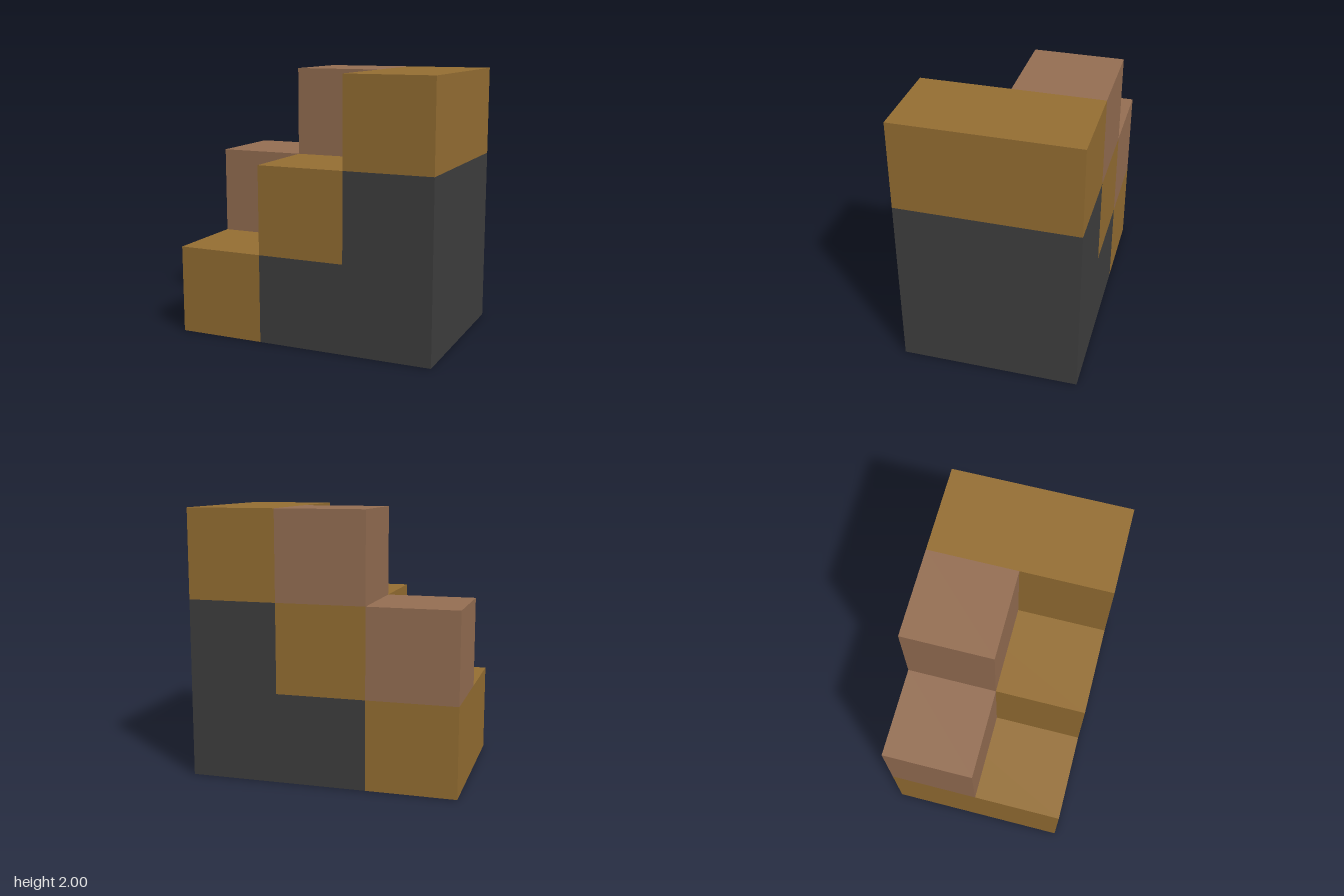
import * as THREE from 'three';

const U = 2 / 3; // edge of one block

export function createModel() {
  const model = new THREE.Group();
  model.name = 'steppedBlocks';

  const ochre = new THREE.MeshStandardMaterial({ name: 'ochre', color: 0x966f33 });
  const clay = new THREE.MeshStandardMaterial({ name: 'clay', color: 0x966f53 });
  const charcoal = new THREE.MeshStandardMaterial({ name: 'charcoal', color: 0x3f3f3f });

  const addBlock = (name, material, column, row, depth, z) => {
    const mesh = new THREE.Mesh(new THREE.BoxGeometry(U, U, depth), material);
    mesh.name = name;
    mesh.position.set((column - 1) * U, (row + 0.5) * U, z);
    model.add(mesh);
  };

  // Three full-depth steps climbing towards +x
  for (let i = 0; i < 3; i++) addBlock(`step${i + 1}`, ochre, i, i, 2 * U, 0);

  // Raised blocks on the back half of the two lower steps
  for (let i = 0; i < 2; i++) addBlock(`backBlock${i + 1}`, clay, i, i + 1, U, -U / 2);

  // Stair-shaped base filling the space under the steps
  const profile = new THREE.Shape([
    [-0.5, 0], [1.5, 0], [1.5, 2], [0.5, 2], [0.5, 1], [-0.5, 1],
  ].map(([x, y]) => new THREE.Vector2(x * U, y * U)));
  const baseGeometry = new THREE.ExtrudeGeometry(profile, { depth: 2 * U, bevelEnabled: false });
  baseGeometry.translate(0, 0, -U);
  const base = new THREE.Mesh(baseGeometry, charcoal);
  base.name = 'base';
  model.add(base);

  return model;
}
